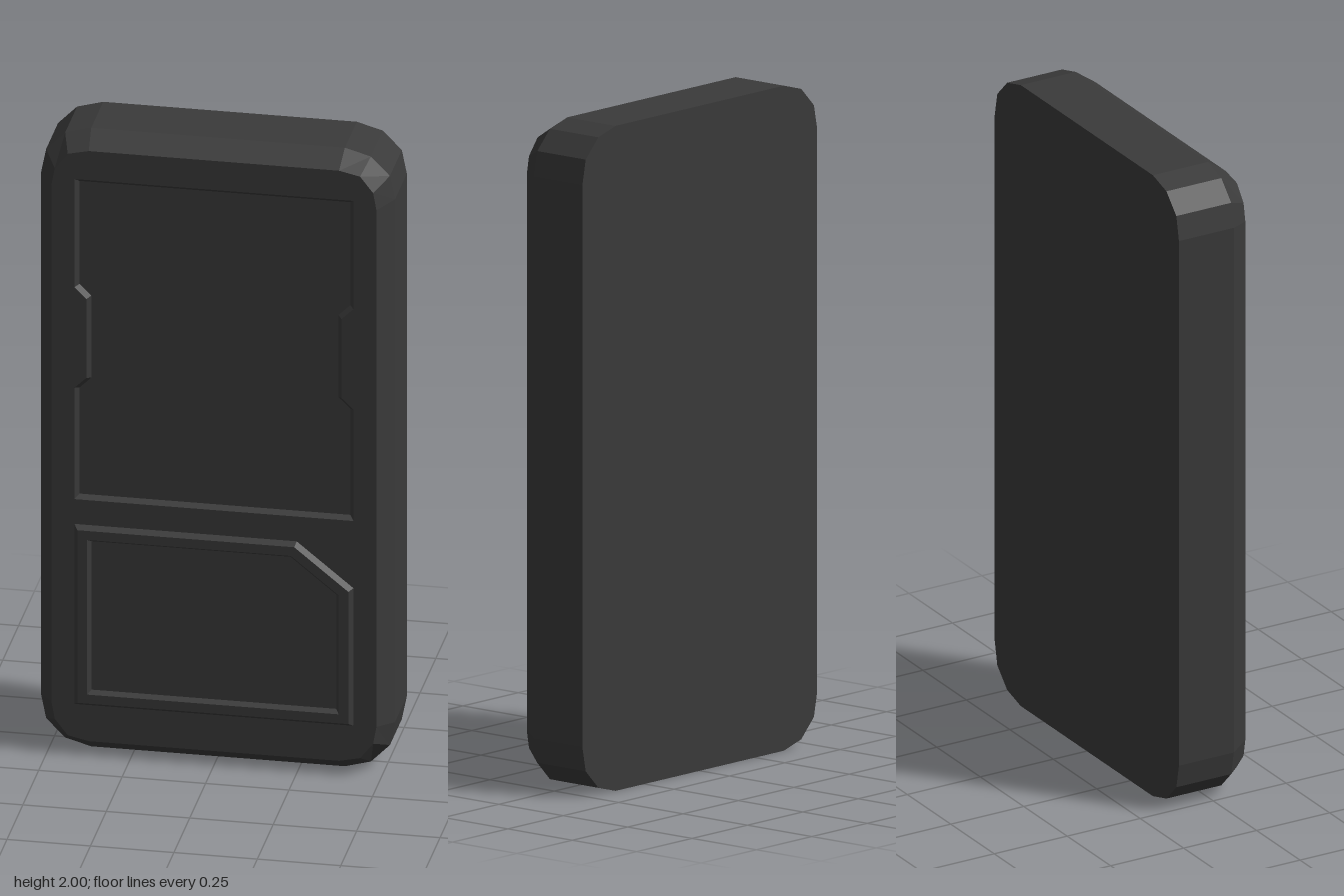
import * as THREE from 'three';

const material = new THREE.MeshStandardMaterial({ color: 0x3a3a3a, flatShading: true });

// All outlines are counter-clockwise lists of [x, y] as seen from the front.

// Mirrors one top-right corner into a full outline around the middle height
function roundedOutline(corner) {
  const back = [...corner].reverse();
  return [
    ...corner,
    ...back.map(([x, y]) => [-x, y]),
    ...corner.map(([x, y]) => [-x, 2 - y]),
    ...back.map(([x, y]) => [x, 2 - y]),
  ];
}

// Moves every edge of an outline inwards by d
function inset(points, d) {
  const n = points.length;
  const normal = (a, b) => {
    const l = Math.hypot(b[0] - a[0], b[1] - a[1]);
    return [(a[1] - b[1]) / l, (b[0] - a[0]) / l];
  };
  return points.map((p, i) => {
    const u = normal(points[(i + n - 1) % n], p);
    const v = normal(p, points[(i + 1) % n]);
    const k = d / (1 + u[0] * v[0] + u[1] * v[1]);
    return [p[0] + (u[0] + v[0]) * k, p[1] + (u[1] + v[1]) * k];
  });
}

// Wall joining two outlines with the same number of points
function wall(name, a, za, b, zb) {
  const pos = [];
  a.forEach((p, i) => {
    const j = (i + 1) % a.length;
    const a0 = [...p, za], a1 = [...a[j], za], b0 = [...b[i], zb], b1 = [...b[j], zb];
    pos.push(...a0, ...a1, ...b1, ...a0, ...b1, ...b0);
  });
  const geometry = new THREE.BufferGeometry();
  geometry.setAttribute('position', new THREE.Float32BufferAttribute(pos, 3));
  geometry.computeVertexNormals();
  const mesh = new THREE.Mesh(geometry, material);
  mesh.name = name;
  return mesh;
}

// Flat face with optional holes
function face(name, outline, z, holes = []) {
  const vectors = (points) => points.map(([x, y]) => new THREE.Vector2(x, y));
  const shape = new THREE.Shape(vectors(outline));
  holes.forEach((h) => shape.holes.push(new THREE.Path(vectors(h))));
  const mesh = new THREE.Mesh(new THREE.ShapeGeometry(shape), material);
  mesh.position.z = z;
  mesh.name = name;
  return mesh;
}

function group(name, ...parts) {
  const g = new THREE.Group();
  g.name = name;
  return g.add(...parts);
}

export function createModel() {
  const zBack = -0.135, zShoulder = 0.053, zFront = 0.118, zPanel = 0.135;

  const body = roundedOutline([[0.53, 1.845], [0.515, 1.92], [0.458, 1.978], [0.38, 2]]);
  const front = roundedOutline([[0.487, 1.835], [0.477, 1.89], [0.438, 1.94], [0.375, 1.954]]);

  // Recessed screen with a notch in each side
  const side = [[0.418, 0.825], [0.418, 1.185], [0.382, 1.22], [0.382, 1.475], [0.418, 1.51], [0.418, 1.86]];
  const screen = [...side, ...[...side].reverse().map(([x, y]) => [-x, y])];
  const screenFloor = inset(screen, 0.012);

  // Raised panel with one cut corner and a sunken middle
  const panel = [[-0.418, 0.163], [0.418, 0.163], [0.418, 0.608], [0.248, 0.745], [-0.418, 0.745]];
  const panelTop = inset(panel, 0.012);
  const pocket = inset(panel, 0.041);
  const pocketFloor = inset(pocket, 0.01);

  const back = face('backFace', body, zBack);
  back.rotation.y = Math.PI;

  return group('device',
    group('casing',
      back,
      wall('sideWall', body, zBack, body, zShoulder),
      wall('frontBevel', body, zShoulder, front, zFront),
      face('frontFace', front, zFront, [screen, panel])),
    group('screen',
      wall('screenEdge', screen, zFront, screenFloor, zFront - 0.016),
      face('screenFloor', screenFloor, zFront - 0.016)),
    group('lowerPanel',
      wall('panelEdge', panel, zFront, panelTop, zPanel),
      face('panelRim', panelTop, zPanel, [pocket]),
      wall('pocketEdge', pocket, zPanel, pocketFloor, zPanel - 0.016),
      face('pocketFloor', pocketFloor, zPanel - 0.016)));
}
